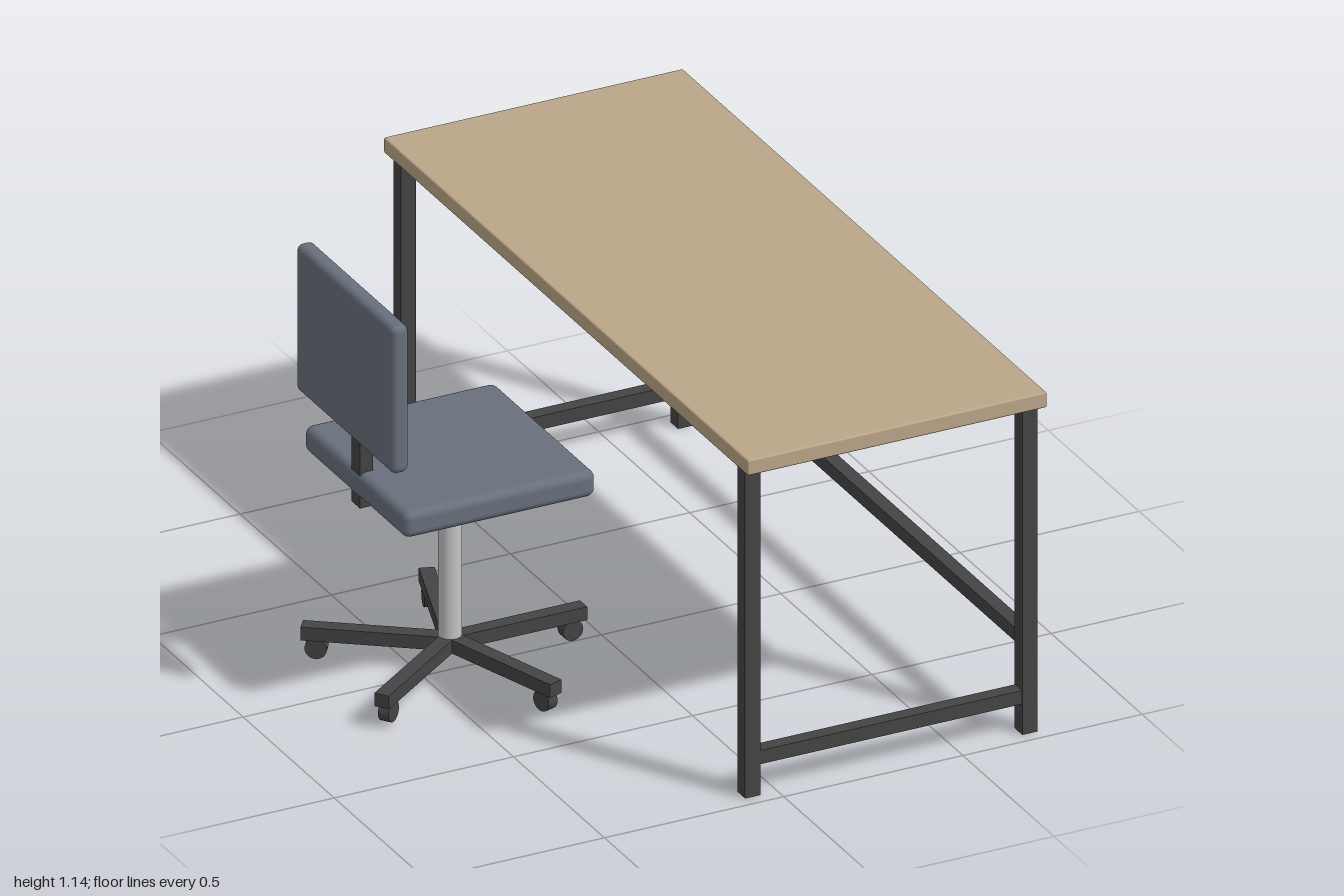
import * as THREE from 'three';
import { RoundedBoxGeometry } from 'three/addons/geometries/RoundedBoxGeometry.js';

const material = (name, color) => {
  const m = new THREE.MeshStandardMaterial({ color });
  m.name = name;
  return m;
};

export function createModel() {
  const wood = material('wood', 0xbba688);
  const darkMetal = material('dark metal', 0x444444);
  const fabric = material('blue grey fabric', 0x69707c);
  const steel = material('light steel', 0xc4c4c4);

  const add = (parent, name, geometry, mat, x, y, z) => {
    const mesh = new THREE.Mesh(geometry, mat);
    mesh.name = name;
    mesh.position.set(x, y, z);
    parent.add(mesh);
    return mesh;
  };
  const group = (parent, name) => {
    const g = new THREE.Group();
    g.name = name;
    parent.add(g);
    return g;
  };
  const box = (w, h, d) => new THREE.BoxGeometry(w, h, d);
  const rounded = (w, h, d, r, s = 3) => new RoundedBoxGeometry(w, h, d, s, r);

  const model = new THREE.Group();
  model.name = 'deskAndChair';

  // Desk: top, four legs, a low rail at each end and one long rail
  const desk = group(model, 'desk');
  const bar = 0.042, legX = [-0.069, 0.704], legZ = 0.945, legTop = 0.917;
  const midX = (legX[0] + legX[1]) / 2, spanX = legX[1] - legX[0] - bar;
  add(desk, 'tabletop', rounded(0.835, 0.043, 2, 0.005, 2), wood, midX, 0.9375, 0);
  for (const z of [-legZ, legZ]) {
    for (const x of legX) add(desk, 'deskLeg', box(bar, legTop, bar), darkMetal, x, legTop / 2, z);
    add(desk, 'endRail', box(spanX, 0.038, 0.038), darkMetal, midX, 0.104, z);
  }
  add(desk, 'longRail', box(0.038, 0.038, 2 * legZ - bar), darkMetal, legX[1], 0.26, 0);

  // Chair: seat, backrest and its post, column
  const chair = group(model, 'chair');
  chair.position.x = -0.423;
  add(chair, 'seat', rounded(0.535, 0.073, 0.56, 0.022), fabric, 0, 0.582, 0);
  add(chair, 'backrest', rounded(0.048, 0.41, 0.536, 0.018), fabric, -0.272, 0.932, 0);
  add(chair, 'backPost', box(0.036, 0.308, 0.048), darkMetal, -0.245, 0.674, 0);
  add(chair, 'column', new THREE.CylinderGeometry(0.03, 0.03, 0.47, 32), steel, 0, 0.32, 0);

  // Five-armed base with a caster under each arm tip
  const base = group(chair, 'base');
  const armLength = 0.373;
  const wheel = new THREE.CylinderGeometry(0.028, 0.028, 0.03, 24).rotateX(Math.PI / 2);
  for (let i = 0; i < 5; i++) {
    const spoke = group(base, 'spoke');
    spoke.rotation.y = (i * Math.PI * 2) / 5;
    add(spoke, 'arm', box(armLength, 0.037, 0.04), darkMetal, armLength / 2, 0.08, 0);
    add(spoke, 'caster', wheel, darkMetal, 0.336, 0.038, 0);
  }
  return model;
}
